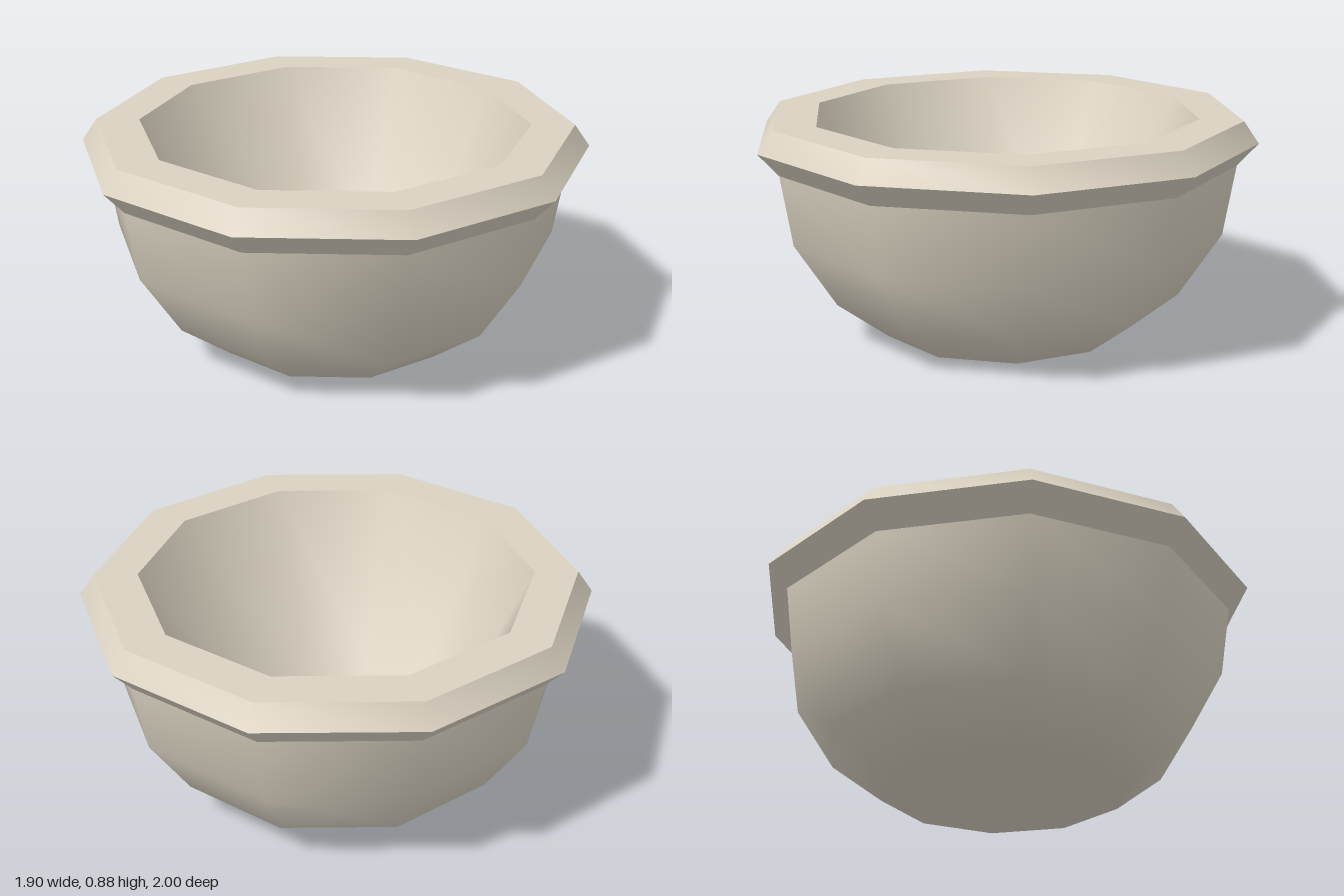
import * as THREE from 'three';
import { mergeVertices } from 'three/addons/utils/BufferGeometryUtils.js';

const SIDES = 10;

export function createModel() {
  const group = new THREE.Group();
  group.name = 'bowl';
  const clay = new THREE.MeshStandardMaterial({ color: 0xdad2c1 });
  clay.name = 'pale clay';

  // Ten-sided lathe, smooth inside each part and sharp between parts.
  function turn(name, profile) {
    const points = profile.map(([r, y]) => new THREE.Vector2(r, y));
    const lathe = new THREE.LatheGeometry(points, SIDES);
    lathe.deleteAttribute('normal');
    lathe.deleteAttribute('uv');
    const geometry = mergeVertices(lathe, 1e-4);
    geometry.computeVertexNormals();
    const mesh = new THREE.Mesh(geometry, clay);
    mesh.name = name;
    group.add(mesh);
  }

  // Outer body with its closed base
  turn('outerBody', [[0, 0], [0.5, 0], [0.71, 0.16], [0.875, 0.42], [0.92, 0.7]]);

  // Rim: flared underside, sloping band and flat lip
  turn('rimUnderside', [[0.92, 0.7], [1, 0.79]]);
  turn('rimBand', [[1, 0.79], [0.94, 0.875]]);
  turn('rimLip', [[0.94, 0.875], [0.77, 0.875]]);

  // Hollow inside: tapering wall running down to a small floor
  turn('innerBowl', [[0.77, 0.875], [0.45, 0.15], [0, 0.15]]);

  return group;
}
